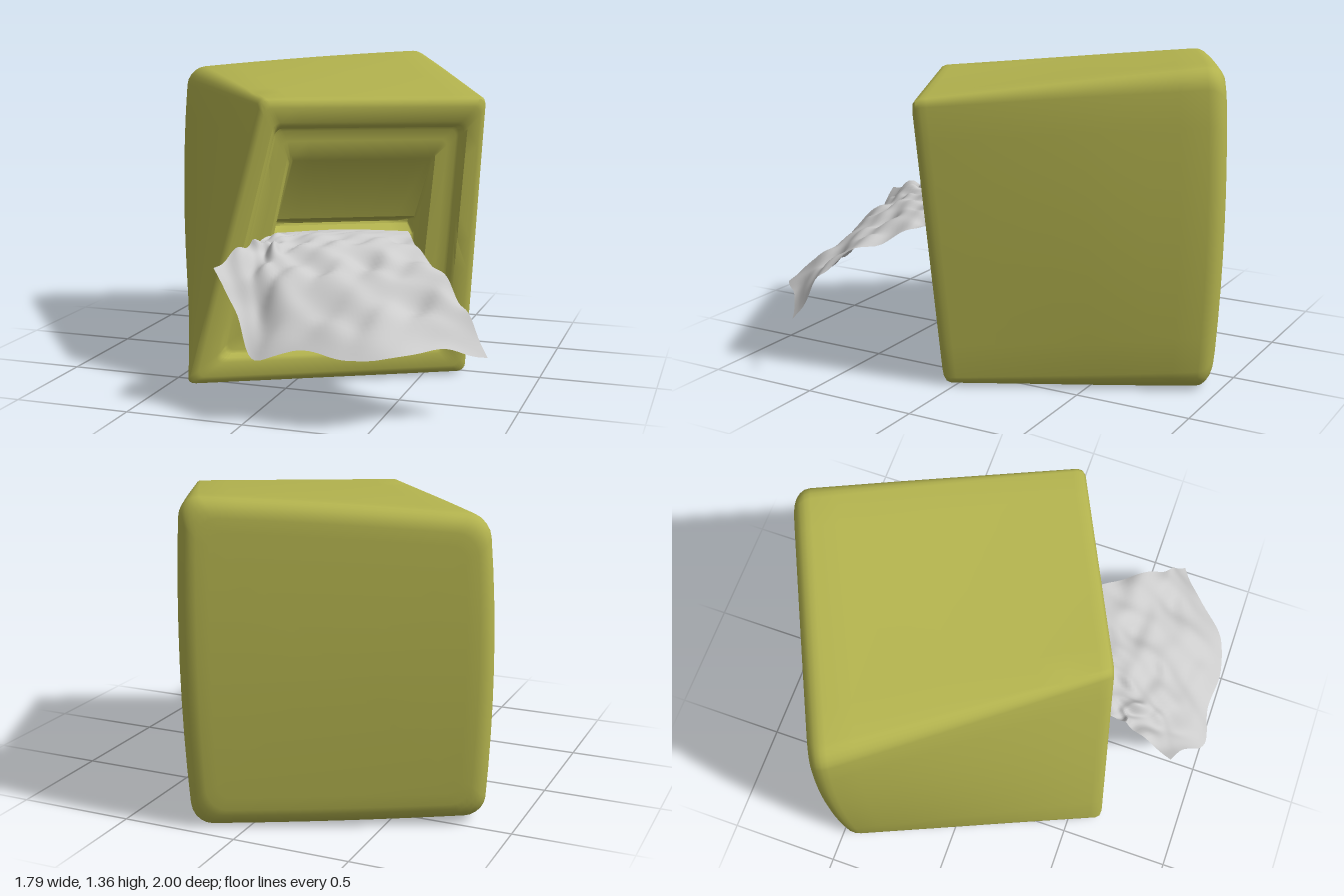
import * as THREE from 'three';
import { toCreasedNormals } from 'three/addons/utils/BufferGeometryUtils.js';

const V = (x, y, z) => new THREE.Vector3(x, y, z);

// Corners of the skewed box: bottom left, bottom right, top left, top right
const FRONT = [V(-0.39, 0.02, 0.66), V(0.68, 0.005, 0.04), V(-0.09, 1.235, 0.53), V(0.77, 1.23, 0.12)];
const BACK = [V(-0.88, 0.035, -0.47), V(0.2, 0.01, -0.98), V(-0.89, 1.285, -0.49), V(0.21, 1.37, -1.0)];

// Maps box coordinates (-1..1 each way) into the skewed, slightly swollen box
function place(u, v, w) {
  const g = Math.min(1, Math.max(0, (1 - w) * 0.8));
  const du = 0.04 * u * (1 - v * v) * g;
  const dv = 0.02 * v * (1 - 0.6 * u * u) * g;
  if (w < 0) w += 0.04 * w * (1 - v * v);
  const a = (u + du + 1) / 2, b = (v + dv + 1) / 2, c = (w + 1) / 2;
  const face = (p) => p[0].clone().lerp(p[1], a).lerp(p[2].clone().lerp(p[3], a), b);
  return face(BACK).lerp(face(FRONT), c);
}

// Rounded rectangle, counter-clockwise, with the same point count for every ring
function ring(u0, u1, v0, v1, r, w) {
  const pts = [], arc = 5, side = 8;
  const corners = [[u1 - r, v0 + r, -1], [u1 - r, v1 - r, 0], [u0 + r, v1 - r, 1], [u0 + r, v0 + r, 2]];
  corners.forEach(([cu, cv, q], k) => {
    for (let i = 0; i <= arc; i++) {
      const t = (q + i / arc) * Math.PI / 2;
      pts.push([cu + r * Math.cos(t), cv + r * Math.sin(t)]);
    }
    const last = pts[pts.length - 1];
    const [nu, nv, nq] = corners[(k + 1) % 4];
    const t = nq * Math.PI / 2;
    const next = [nu + r * Math.cos(t), nv + r * Math.sin(t)];
    for (let i = 1; i < side; i++) {
      const f = i / side;
      pts.push([last[0] + (next[0] - last[0]) * f, last[1] + (next[1] - last[1]) * f]);
    }
  });
  return pts.map(([u, v]) => place(u, v, w));
}

// Triangles for a grid of points, optionally closed along each row
function gridGeometry(rows, closed) {
  const n = rows[0].length, index = [];
  for (let j = 0; j < rows.length - 1; j++) {
    for (let i = 0; i < (closed ? n : n - 1); i++) {
      const k = (i + 1) % n;
      const a = j * n + i, b = j * n + k, c = (j + 1) * n + k, d = (j + 1) * n + i;
      index.push(a, b, c, a, c, d);
    }
  }
  const geo = new THREE.BufferGeometry().setFromPoints(rows.flat());
  geo.setIndex(index);
  geo.computeVertexNormals();
  return geo;
}

function makeBox() {
  const rings = [];
  const square = (h, r, w) => rings.push(ring(-h, h, -h, h, r, w));
  // back panel
  for (const h of [0, 0.3, 0.6, 0.8]) square(h, h * 0.1, -1);
  // rounded back edge
  for (let i = 0; i <= 5; i++) {
    const t = i / 5 * Math.PI / 2;
    square(0.88 + 0.12 * Math.sin(t), 0.13, -0.88 - 0.12 * Math.cos(t));
  }
  // side walls
  for (let i = 1; i <= 9; i++) square(1, 0.13 - 0.008 * i, -0.9 + i * 0.2);
  // front rim and stepped frame
  const steps = [[1, 0.94], [0.99, 0.975], [0.965, 0.995], [0.94, 1], [0.84, 1], [0.815, 0.985],
    [0.79, 0.94], [0.77, 0.93], [0.7, 0.93]];
  for (const [h, w] of steps) square(h, 0.055, w);
  // opening and the funnel leading to the slot
  rings.push(ring(-0.63, 0.61, -0.68, 0.6, 0.03, 0.925));
  rings.push(ring(-0.6, 0.59, -0.65, 0.56, 0.03, 0.9));
  rings.push(ring(-0.58, 0.53, 0.0, 0.13, 0.02, 0.8));
  rings.push(ring(-0.56, 0.51, 0.05, 0.08, 0.01, 0.66));
  rings.push(ring(-0.5, 0.45, 0.065, 0.065, 0, 0.65));
  return toCreasedNormals(gridGeometry(rings, true), 0.6);
}

// Crumpled sheet spanning four curves: in the slot, at the lip, half way, and the hem
function makeSheet() {
  const slot = new THREE.CatmullRomCurve3([V(-0.07, 0.655, 0.4), V(0.18, 0.665, 0.29), V(0.44, 0.65, 0.16)]);
  const lip = new THREE.CatmullRomCurve3([V(-0.08, 0.66, 0.54), V(0.03, 0.655, 0.54), V(0.25, 0.65, 0.45), V(0.52, 0.61, 0.3)]);
  const middle = new THREE.CatmullRomCurve3([V(-0.1, 0.65, 0.64), V(0.06, 0.58, 0.74), V(0.38, 0.53, 0.66), V(0.74, 0.49, 0.54)]);
  const hem = new THREE.CatmullRomCurve3([V(-0.17, 0.59, 0.86), V(-0.06, 0.43, 0.91), V(0.06, 0.27, 1.0),
    V(0.22, 0.31, 0.97), V(0.42, 0.3, 0.97), V(0.58, 0.3, 0.93), V(0.74, 0.32, 0.77), V(0.9, 0.26, 0.66)]);
  const rows = [], nu = 56, ns = 40;
  for (let j = 0; j <= ns; j++) rows.push([]);
  for (let i = 0; i <= nu; i++) {
    const u = i / nu;
    const strand = new THREE.CatmullRomCurve3([slot, lip, middle, hem].map((c) => c.getPoint(u)));
    for (let j = 0; j <= ns; j++) {
      const s = j / ns, p = strand.getPoint(s);
      const amp = 0.018 * Math.min(1, s * 2) * Math.min(1, (1 - s) * 4 + 0.4);
      p.y += amp * (Math.sin(13 * u + 9 * s) * Math.cos(16 * s - 7 * u)
        + 0.7 * Math.sin(27 * u - 12 * s + 1) * Math.cos(19 * s + 9 * u)
        + 0.35 * Math.sin(45 * u + 31 * s));
      p.z += 0.6 * amp * Math.sin(23 * u + 14 * s);
      rows[j].push(p);
    }
  }
  return gridGeometry(rows, false);
}

export function createModel() {
  const group = new THREE.Group();
  const box = new THREE.Mesh(makeBox(), new THREE.MeshStandardMaterial({ color: 0xb3b34e }));
  box.name = 'box';
  const sheet = new THREE.Mesh(makeSheet(), new THREE.MeshStandardMaterial({ color: 0xcccccc, side: THREE.DoubleSide }));
  sheet.name = 'tissue';
  group.add(box, sheet);
  return group;
}
